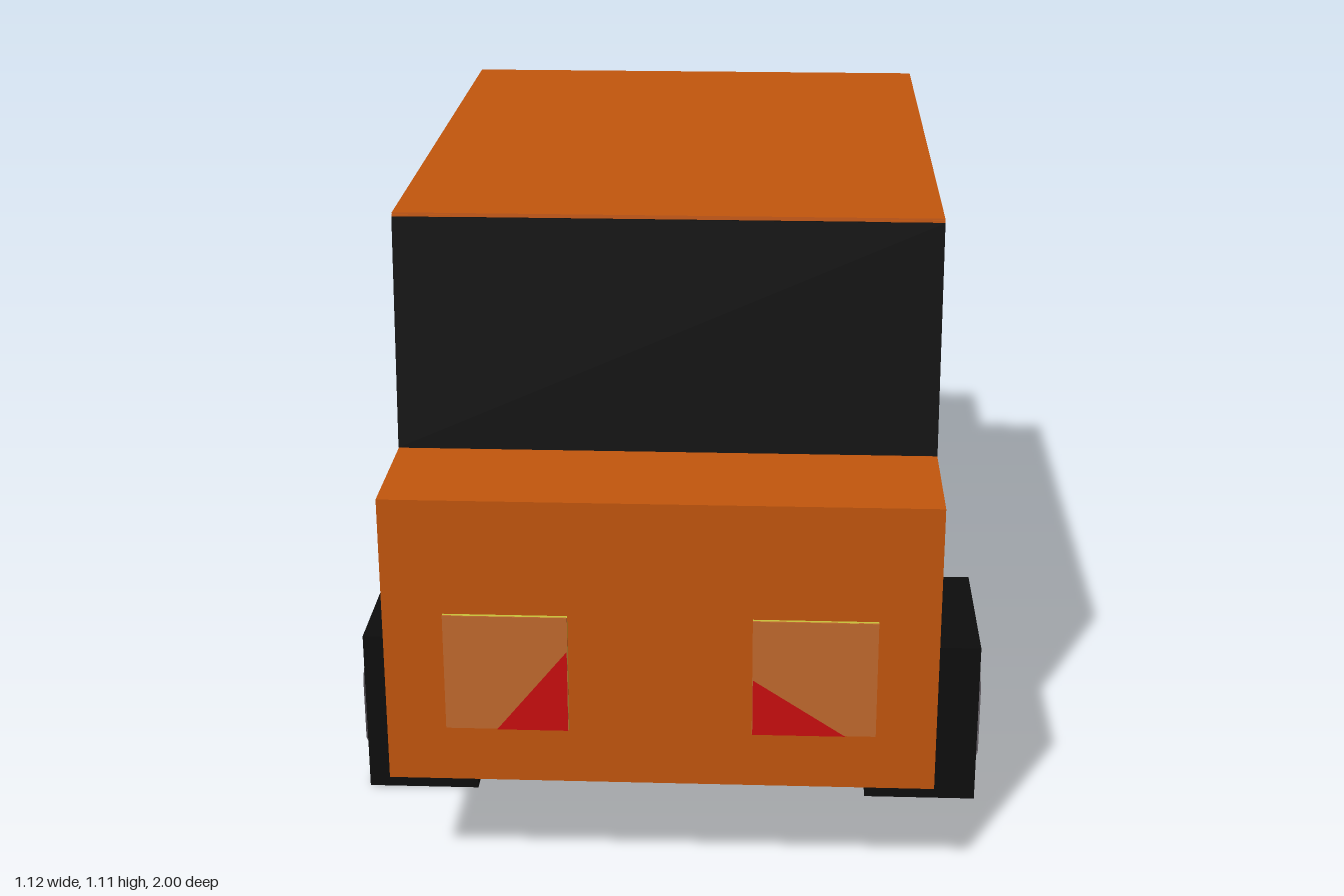
import * as THREE from 'three';

const mat = (name, color, side = THREE.FrontSide) => {
  const m = new THREE.MeshStandardMaterial({ color, side });
  m.name = name;
  return m;
};

export function createModel() {
  const car = new THREE.Group();
  car.name = 'car';
  const orange = mat('orange paint', 0xc2560d);
  const black = mat('black', 0x0d0d0d);
  const grey = mat('hub grey', 0x7a747b, THREE.DoubleSide);
  const yellow = mat('yellow', 0xc9c13a);
  const tan = mat('tan', 0xc1692d);
  const red = mat('red', 0xc90d0f, THREE.DoubleSide);

  const add = (name, geometry, material) => {
    const mesh = new THREE.Mesh(geometry, material);
    mesh.name = name;
    car.add(mesh);
    return mesh;
  };
  // box given by its limits on each axis
  const box = (name, material, x0, x1, y0, y1, z0, z1) =>
    add(name, new THREE.BoxGeometry(x1 - x0, y1 - y0, z1 - z0), material)
      .position.set((x0 + x1) / 2, (y0 + y1) / 2, (z0 + z1) / 2);
  // side profile of [z, y] points, extruded between two x values
  const profile = (name, material, points, x0, x1) => {
    const shape = new THREE.Shape(points.map(p => new THREE.Vector2(...p)));
    const g = new THREE.ExtrudeGeometry(shape, { depth: x1 - x0, bevelEnabled: false });
    g.rotateY(-Math.PI / 2).translate(x1, 0, 0);
    add(name, g, material);
  };

  // lower body
  box('body', orange, -0.455, 0.455, 0.205, 0.71, -0.95, 0.99);

  // dark cabin core, seen through the side and rear openings
  profile('windowGlass', black,
    [[0.74, 0.7], [0.71, 1.09], [-0.39, 1.09], [-0.575, 0.7]], -0.405, 0.405);

  // side frames with a notch for each window
  const frame = [[0.765, 0.71], [0.73, 1.11], [-0.41, 1.11], [-0.6, 0.71],
    [-0.48, 0.71], [-0.34, 1.015], [0.64, 1.015], [0.665, 0.71]];
  profile('leftCabinFrame', orange, frame, 0.355, 0.455);
  profile('rightCabinFrame', orange, frame, -0.455, -0.355);

  // roof with an upright rear edge
  profile('roof', orange,
    [[0.734, 1.047], [0.728, 1.113], [-0.41, 1.113], [-0.41, 1.047]], -0.455, 0.455);

  // full-width windscreen
  const screen = add('windscreen', new THREE.BoxGeometry(0.91, 0.397, 0.006), black);
  screen.position.set(0, 0.909, 0.748);
  screen.rotation.x = -Math.atan2(0.035, 0.4);

  // hubcap outline cut off at the edges of the wheel block
  const hubShape = (rz, ry) => new THREE.Shape(Array.from({ length: 48 }, (_, i) => {
    const a = i / 48 * Math.PI * 2;
    return new THREE.Vector2(THREE.MathUtils.clamp(rz * Math.cos(a), -0.15, 0.15), ry * Math.sin(a));
  }));

  for (const s of [1, -1]) {
    const side = s > 0 ? 'left' : 'right';
    for (const [end, z, rz, ry] of [['Front', 0.52, 0.175, 0.12], ['Rear', -0.695, 0.14, 0.137]]) {
      // square wheel block and painted hubcap
      box(`${side}${end}Wheel`, black, s * 0.455 - 0.1, s * 0.455 + 0.1, 0, 0.305, z - 0.15, z + 0.15);
      const hub = add(`${side}${end}Hubcap`,
        new THREE.ShapeGeometry(hubShape(rz, ry)).rotateY(-Math.PI / 2), grey);
      hub.position.set(s * 0.558, 0.16, z);
    }
    // lamps at both ends
    const x0 = s * 0.253 - 0.102, x1 = s * 0.253 + 0.102;
    box(`${side}RearLamp`, yellow, x0, x1, 0.305, 0.51, -1, -0.95);
    box(`${side}FrontLamp`, yellow, x0, x1, 0.305, 0.51, 0.98, 0.996);
    box(`${side}FrontLampFace`, tan, x0, x1, 0.305, 0.51, 0.995, 0.998);
    // red lower inner corner of the front lamp
    const [h, w] = s > 0 ? [0.1, 0.153] : [0.145, 0.118];
    const corner = new THREE.Shape([
      new THREE.Vector2(s * 0.152, 0.305),
      new THREE.Vector2(s * (0.152 + w), 0.305),
      new THREE.Vector2(s * 0.152, 0.305 + h)]);
    add(`${side}FrontLampCorner`, new THREE.ShapeGeometry(corner), red).position.z = 1;
  }
  return car;
}
